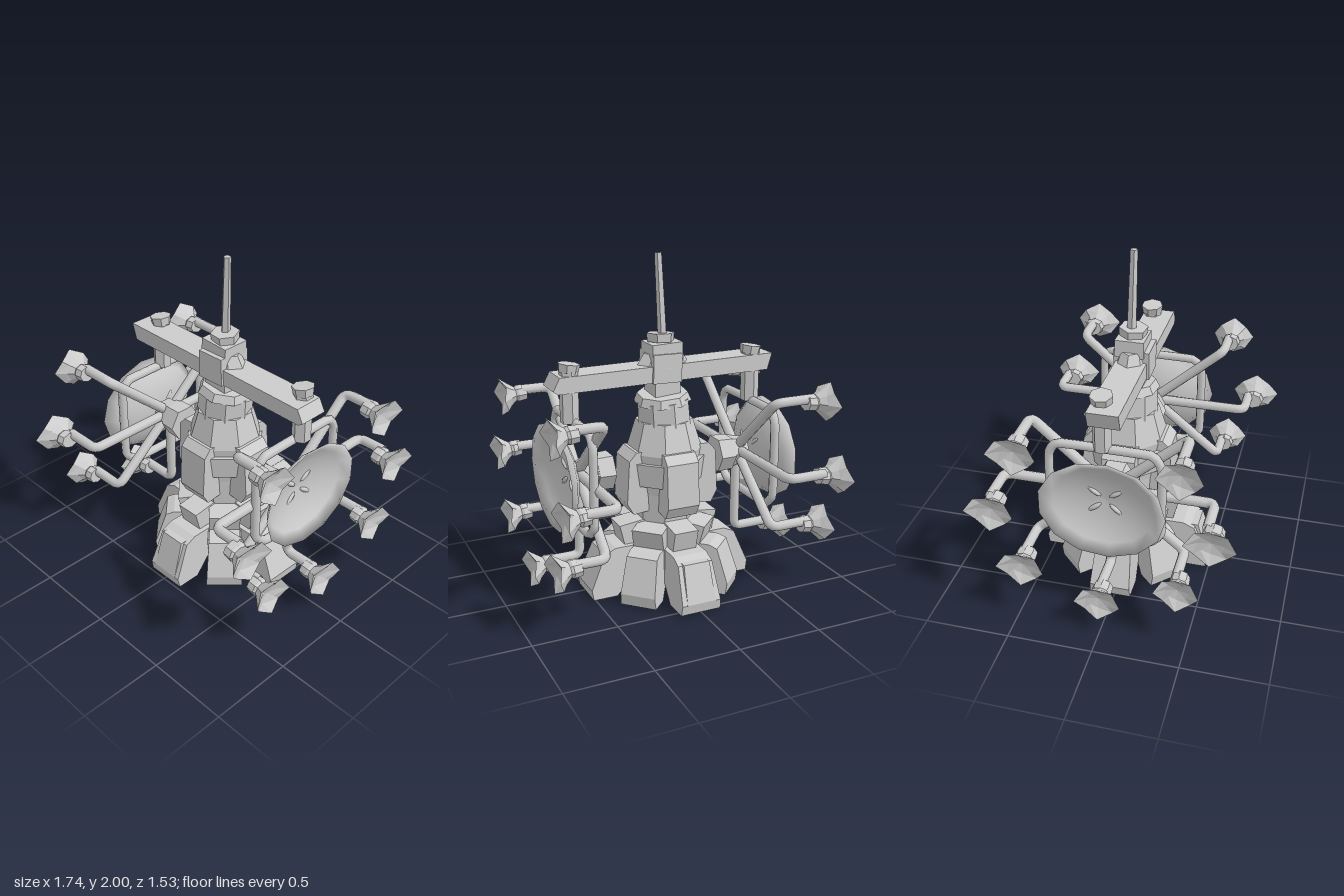
import * as THREE from 'three';

const flat = new THREE.MeshStandardMaterial({ color: 0xcccccc, flatShading: true, side: THREE.DoubleSide });
const smooth = new THREE.MeshStandardMaterial({ color: 0xcccccc, side: THREE.DoubleSide });
const V = (x, y, z) => new THREE.Vector3(x, y, z);
const points = (list) => list.map(([x, y]) => new THREE.Vector2(x, y));

export function createModel() {
  const model = new THREE.Group();
  model.name = 'balanceTower';

  function add(parent, name, geometry, material = flat, x = 0, y = 0, z = 0) {
    const mesh = new THREE.Mesh(geometry, material);
    mesh.name = name;
    mesh.position.set(x, y, z);
    parent.add(mesh);
    return mesh;
  }

  // Block with a (radius, height) outline, extruded sideways and turned about the y axis
  function radialBlock(parent, name, profile, width, angle, narrowing = 0) {
    const geo = new THREE.ExtrudeGeometry(new THREE.Shape(points(profile)), { depth: width, bevelEnabled: false });
    geo.translate(0, 0, -width / 2);
    const p = geo.attributes.position;
    const top = Math.max(...profile.map((q) => q[1]));
    const low = Math.min(...profile.map((q) => q[1]));
    for (let i = 0; i < p.count; i++) {
      p.setZ(i, p.getZ(i) * (1 - narrowing * (p.getY(i) - low) / (top - low)));
    }
    geo.computeVertexNormals();
    const mesh = add(parent, name, geo);
    mesh.rotation.y = angle;
    return mesh;
  }

  // Central tower
  const tower = new THREE.Group();
  tower.name = 'tower';
  tower.position.z = -0.03;
  model.add(tower);

  // Stone foot: eight sloping buttresses, hollow underneath
  add(tower, 'footCore', new THREE.CylinderGeometry(0.27, 0.29, 0.12, 8), flat, 0, 0.24, 0).rotation.y = Math.PI / 8;
  const mainButtress = [[0.17, 0.2], [0.36, 0], [0.51, 0], [0.52, 0.06], [0.43, 0.27], [0.36, 0.3], [0.15, 0.3]];
  const cornerButtress = [[0.17, 0.2], [0.31, 0], [0.43, 0], [0.44, 0.07], [0.37, 0.28], [0.32, 0.3], [0.15, 0.3]];
  for (let i = 0; i < 8; i++) {
    const main = i % 2 === 0;
    radialBlock(tower, 'buttress', main ? mainButtress : cornerButtress, main ? 0.25 : 0.22, i * Math.PI / 4, 0.15);
  }
  // Raised plates on the front and back buttresses
  for (const a of [Math.PI / 2, -Math.PI / 2]) {
    radialBlock(tower, 'buttressPlate', [[0.4, 0.06], [0.52, 0.06], [0.45, 0.28], [0.34, 0.28]], 0.18, a, 0.1);
  }

  // Collar stones between foot and body
  for (let i = 0; i < 8; i++) {
    const main = i % 2 === 0;
    const r = main ? 0.29 : 0.26;
    const y = main ? 0.42 : 0.41;
    radialBlock(tower, 'collarStone', [[0.08, 0.29], [r, 0.3], [r + 0.03, y], [0.08, y + 0.03]], main ? 0.15 : 0.19, i * Math.PI / 4);
  }

  // Tapered body with sloping shoulders
  const bodyProfile = [[0.18, 0.4], [0.19, 0.6], [0.225, 0.85], [0.17, 1.03], [0, 1.03]];
  add(tower, 'body', new THREE.LatheGeometry(points(bodyProfile), 8)).rotation.y = Math.PI / 8;
  add(tower, 'bodyBand', new THREE.CylinderGeometry(0.245, 0.23, 0.14, 8), flat, 0, 0.73, 0).rotation.y = Math.PI / 8;

  // Four shield panels round the body
  const panel = [[0.14, 0.5], [0.24, 0.49], [0.28, 0.56], [0.265, 0.82], [0.22, 0.87], [0.14, 0.87]];
  for (let i = 0; i < 4; i++) {
    const block = radialBlock(tower, 'bodyPanel', panel, 0.2, i * Math.PI / 2);
    if (i === 2) block.position.x = -0.03;
  }

  // Leaning collar, neck and cap
  const collar = add(tower, 'upperCollar', new THREE.CylinderGeometry(0.16, 0.165, 0.16, 8), flat, 0.003, 1.07, 0);
  collar.rotation.z = -0.08;
  const lip = add(tower, 'collarLip', new THREE.CylinderGeometry(0.15, 0.17, 0.05, 8), flat, 0.01, 1.165, 0);
  lip.rotation.set(-0.06, 0.3, -0.08);
  add(tower, 'neck', new THREE.BoxGeometry(0.16, 0.36, 0.16), flat, 0.005, 1.28, 0.01);
  const saddle = add(tower, 'saddle', new THREE.CylinderGeometry(0.12, 0.17, 0.08, 8), flat, 0, 1.385, 0.02);
  saddle.scale.z = 0.6;
  const clasp = add(tower, 'clasp', new THREE.BoxGeometry(0.18, 0.17, 0.21), flat, 0.01, 1.345, 0.025);
  clasp.rotation.z = 0.02;
  add(tower, 'capBlock', new THREE.BoxGeometry(0.19, 0.1, 0.17), flat, 0.005, 1.44, 0.015).rotation.z = -0.04;
  const cap = add(tower, 'capRing', new THREE.CylinderGeometry(0.085, 0.08, 0.05, 6), flat, 0.015, 1.515, 0.015);
  cap.rotation.set(0.06, 0.4, 0.03);
  const mast = add(tower, 'mast', new THREE.CylinderGeometry(0.022, 0.028, 0.49, 5), flat, 0.018, 1.755, 0.01);
  mast.rotation.set(0.02, 0, -0.045);

  // Crossbeam with slanted ends
  const beamShape = new THREE.Shape(points([[-0.66, 1.27], [0.67, 1.26], [0.7, 1.28], [0.66, 1.355], [-0.69, 1.37]]));
  add(model, 'crossbeam', new THREE.ExtrudeGeometry(beamShape, { depth: 0.18, bevelEnabled: false }), flat, 0, 0, -0.095);

  // Flared cup with a jagged rim: every second corner is drawn in and back
  const cupGeometry = new THREE.LatheGeometry(points([[0, 0], [0.055, 0], [0.06, 0.05], [0.05, 0.065],
    [0.08, 0.1], [0.135, 0.16], [0.07, 0.12], [0, 0.105]]), 8);
  const cp = cupGeometry.attributes.position;
  for (let i = 0; i < cp.count; i++) {
    const x = cp.getX(i), y = cp.getY(i), z = cp.getZ(i);
    const r = Math.hypot(x, z);
    if (r > 0.1 && Math.cos(4 * Math.atan2(z, x)) < 0) cp.setXYZ(i, x * 0.88, y - 0.03, z * 0.88);
  }

  // Hanging wheel assemblies on both sides; each built along +x or -x
  // Arm ends: z, y, cup z offset, cup length along z
  const armEnds = [[0.45, 1.17, 0.015, 0.95], [-0.45, 1.17, 0.005, 1.05], [0.6, 0.77, 0.035, 1.08], [-0.63, 0.77, 0.03, 1.08],
    [0.44, 0.41, 0.02, 0.95], [-0.45, 0.41, 0.01, 1.05], [0, 0.25, 0.01, 1]];
  const dishProfile = points([[0, 0], [0.1, 0.008], [0.2, 0.03], [0.29, 0.065], [0.36, 0.11], [0.3, 0.055], [0.2, 0.01], [0.1, -0.015], [0, -0.02]]);

  for (const s of [-1, 1]) {
    const side = new THREE.Group();
    side.name = s > 0 ? 'leftWheel' : 'rightWheel';
    side.position.z = -0.02;
    model.add(side);
    const armX = s > 0 ? 0.545 : 0.495;
    const postX = s > 0 ? 0.59 : 0.57;
    const outward = -s * Math.PI / 2;

    // Post through the beam with a tilted head
    add(side, 'hangerPost', new THREE.CylinderGeometry(0.055, 0.055, 0.32, 6), flat, s * postX, 1.24, -0.02);
    const head = add(side, 'postHead', new THREE.CylinderGeometry(0.066, 0.058, 0.05, 7), flat, s * postX, 1.395, -0.02);
    head.rotation.z = 0.14;

    // Two-stage hub
    const hub = add(side, 'hub', new THREE.CylinderGeometry(0.11, 0.115, 0.1, 6), flat, s * 0.395, 0.755, 0);
    hub.rotation.z = outward;
    const axle = add(side, 'axle', new THREE.CylinderGeometry(0.08, 0.105, 0.12, 6), flat, s * 0.49, 0.76, 0);
    axle.rotation.z = outward;

    // Rounded frame behind the dish
    const fx = s * 0.57;
    const loop = [[0.25, 1.08], [-0.27, 1.08], [-0.33, 1], [-0.33, 0.56], [-0.24, 0.48], [0.22, 0.48], [0.31, 0.56], [0.31, 1]];
    const frame = new THREE.CatmullRomCurve3(loop.map(([z, y]) => V(fx, y, z)), true, 'catmullrom', 0.15);
    add(side, 'dishFrame', new THREE.TubeGeometry(frame, 64, 0.027, 8, true), smooth);

    // Shallow dish facing outward
    const dish = add(side, 'dish', new THREE.LatheGeometry(dishProfile, 13), smooth, s * 0.595, 0.76, 0);
    dish.rotation.z = outward;
    dish.scale.set(0.87, 1, 1.02);

    // Four small spikes showing at the dish centre
    for (const sy of [-1, 1]) for (const sz of [-1, 1]) {
      const spike = add(side, 'dishSpike', new THREE.SphereGeometry(0.055, 8, 6), smooth, s * 0.595, 0.76 + sy * 0.055, sz * 0.065);
      spike.scale.set(0.4, 0.3, 1);
      spike.rotation.x = -sy * sz * 0.65;
    }

    // Seven bent arms with flared cups
    for (const [z, y, shift, length] of armEnds) {
      const start = V(s * armX, 0.77, 0);
      const elbow = V(s * armX, y, z);
      const before = elbow.clone().add(start.clone().sub(elbow).setLength(0.05));
      const after = elbow.clone().add(V(s * 0.05, 0, 0));
      const path = new THREE.CurvePath();
      path.add(new THREE.LineCurve3(start, before));
      path.add(new THREE.QuadraticBezierCurve3(before, elbow, after));
      path.add(new THREE.LineCurve3(after, V(s * 0.73, y, z)));
      add(side, 'arm', new THREE.TubeGeometry(path, 40, 0.031, 8), smooth);
      const cup = add(side, 'cup', cupGeometry, flat, s * 0.7, y - 0.02, z + shift);
      cup.rotation.z = outward - s * 0.08;
      cup.scale.set(0.88, 1, length);
    }
  }
  return model;
}
